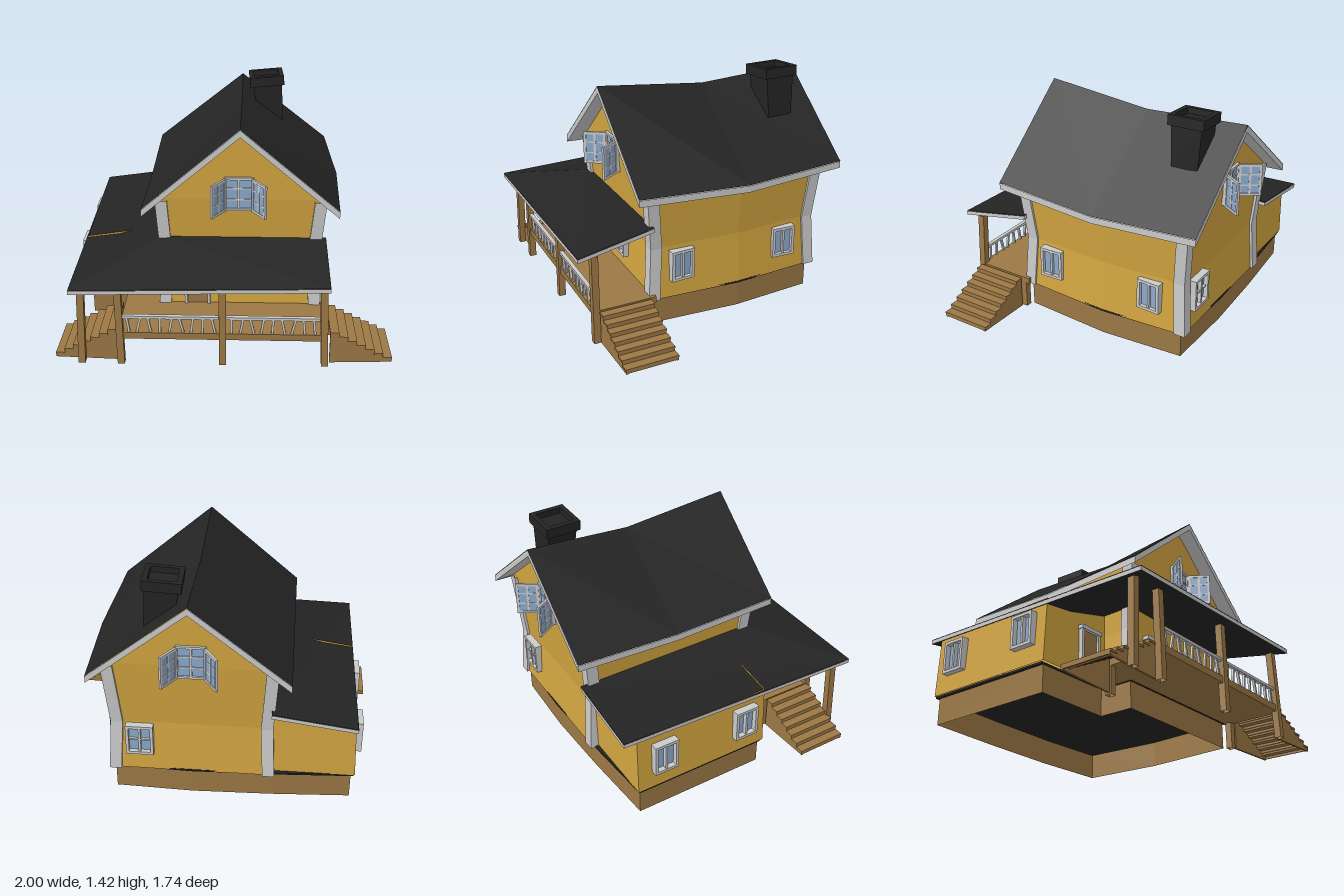
import * as THREE from 'three';

const mat = (name, color, double) => {
  const m = new THREE.MeshStandardMaterial({ color });
  m.name = name;
  if (double) m.side = THREE.DoubleSide;
  return m;
};

export function createModel() {
  const M = {
    wall: mat('yellow wall', 0xd2a540, true),
    trim: mat('light grey trim', 0xcbcbcb, true),
    roof: mat('black roof', 0x242424, true),
    wood: mat('brown wood', 0x9c7845, true),
    glass: mat('blue glass', 0x8aa9cc),
  };
  const house = new THREE.Group();
  house.name = 'house';

  const add = (name, geo, material, parent = house) => {
    const m = new THREE.Mesh(geo, material);
    m.name = name;
    parent.add(m);
    return m;
  };
  const fromTriangles = (pts) => {
    const g = new THREE.BufferGeometry();
    g.setAttribute('position', new THREE.Float32BufferAttribute(pts.flat(), 3));
    g.computeVertexNormals();
    return g;
  };
  // open or closed grid of flat-shaded quads between rows of points
  const surface = (rows, closed = false) => {
    const t = [];
    for (let r = 0; r + 1 < rows.length; r++) {
      const p = rows[r], q = rows[r + 1], n = p.length;
      for (let i = 0; i < (closed ? n : n - 1); i++) {
        const j = (i + 1) % n;
        t.push(p[i], p[j], q[j], p[i], q[j], q[i]);
      }
    }
    return fromTriangles(t);
  };
  const box = (name, x0, x1, y0, y1, z0, z1, material, parent) => {
    const m = add(name, new THREE.BoxGeometry(x1 - x0, y1 - y0, z1 - z0), material, parent);
    m.position.set((x0 + x1) / 2, (y0 + y1) / 2, (z0 + z1) / 2);
    return m;
  };
  // square ring around a centre, counter-clockwise from above
  const ring = ([x, y, z], h) => [[x - h, y, z + h], [x + h, y, z + h], [x + h, y, z - h], [x - h, y, z - h]];
  const bar = (name, a, b, h, material) => add(name, surface([ring(a, h), ring(b, h)], true), material);
  const lower = (rows, d) => rows.map((r) => r.map(([x, y, z]) => [x, y - d, z]));

  // Main walls: pinched at mid height, bulging on the right side
  const levels = [
    { y: 0.17, r: 0.575, l: -0.39, f: 0.412, b: -0.715 },
    { y: 0.5, r: 0.555, l: -0.375, f: 0.39, b: -0.695 },
    { y: 0.92, r: 0.59, l: -0.4, f: 0.425, b: -0.73 },
  ];
  const wallRing = ({ y, r, l, f, b }) =>
    [[l, y, f], [r, y, f], [r + 0.033, y, -0.17], [r, y, b], [l, y, b]];
  add('mainWalls', surface(levels.map(wallRing), true), M.wall);
  const top = levels[2];
  add('gables', fromTriangles([
    [top.l, 0.92, top.f], [top.r, 0.92, top.f], [0.09, 1.345, 0.432],
    [top.r, 0.92, top.b], [top.l, 0.92, top.b], [0.09, 1.31, -0.735],
  ]), M.wall);

  // Corner trims follow the pinch
  for (const [sx, sz] of [['l', 'f'], ['r', 'f'], ['l', 'b'], ['r', 'b']]) {
    const dx = sx === 'r' ? -1 : 1, dz = sz === 'f' ? -1 : 1;
    add('cornerTrim', surface(levels.map((v) =>
      ring([v[sx] + dx * 0.02, Math.min(v.y, 0.905), v[sz] + dz * 0.02], 0.036)), true), M.trim);
  }

  // Side annex
  add('annexWalls', surface([0, 1].map((k) => {
    const x = k ? -0.872 : -0.888, yo = k ? 0.56 : 0.18, yi = k ? 0.635 : 0.18;
    return [[x, yo, 0.2], [-0.38, yi, 0.2], [-0.38, yi, -0.68], [x, yo, -0.68]];
  }), true), M.wall);

  // Hollow skirting and dark floor
  const plan = [[-0.865, 0.18], [-0.38, 0.18], [-0.38, 0.395], [0.56, 0.395], [0.597, -0.17],
    [0.56, -0.69], [0.09, -0.705], [-0.38, -0.69], [-0.865, -0.66]];
  add('skirting', surface([0.005, 0.175].map((y) => plan.map(([x, z]) => [x, y, z])), true), M.wood);
  const floorShape = new THREE.Shape(plan.map(([x, z]) => new THREE.Vector2(x * 1.02, -z * 1.02)));
  const floor = add('floor', new THREE.ExtrudeGeometry(floorShape, { depth: 0.012, bevelEnabled: false }), M.roof);
  floor.rotation.x = -Math.PI / 2;
  floor.position.y = 0.167;

  // Sagging main roof
  const roofRows = [[0.52, 1.38, 0.885, 0.675], [-0.17, 1.31, 0.86, 0.71], [-0.825, 1.345, 0.885, 0.675]]
    .map(([z, ridge, eave, xr]) => [[-0.49, eave, z], [0.09, ridge, z], [xr, eave, z]]);
  const rim = (rows) => [...rows[0], rows[1][2], rows[2][2], rows[2][1], rows[2][0], rows[1][0]];
  add('mainRoof', surface(roofRows), M.roof);
  const under = lower(roofRows, 0.045);
  add('mainRoofUnderside', surface(under), M.trim);
  add('mainRoofFascia', surface([rim(under), rim(lower(roofRows, 0.003))], true), M.trim);

  // Lean-to roof wrapping the porch and the annex
  const porchRows = [
    [[0.61, 0.57, 0.87], [-0.88, 0.53, 0.86], [-0.88, 0.575, -0.765]],
    [[0.61, 0.662, 0.4], [-0.38, 0.662, 0.4], [-0.38, 0.645, -0.765]],
  ];
  const porchRim = (rows) => [...rows[0], ...[...rows[1]].reverse()];
  const porchUnder = lower(porchRows, 0.028);
  add('porchRoof', surface(porchRows), M.roof);
  add('porchRoofUnderside', surface(porchUnder), M.roof);
  add('porchRoofFascia', surface([porchRim(porchUnder), porchRim(lower(porchRows, 0.003))], true), M.trim);

  // Chimney with a hollow, slightly crooked cap
  const chimney = new THREE.Group();
  chimney.name = 'chimney';
  chimney.position.set(0.25, 1.38, -0.57);
  chimney.rotation.set(0, 0.04, 0.08);
  house.add(chimney);
  add('chimneyStack', surface([ring([0.01, -0.27, 0], 0.082), ring([0, 0, 0], 0.096)], true), M.roof, chimney);
  const square = (C, h) => new C([[-h, -h], [h, -h], [h, h], [-h, h]].map((p) => new THREE.Vector2(...p)));
  const capShape = square(THREE.Shape, 0.112);
  capShape.holes.push(square(THREE.Path, 0.082));
  const cap = add('chimneyCap', new THREE.ExtrudeGeometry(capShape, { depth: 0.062, bevelEnabled: false }), M.roof, chimney);
  cap.rotation.x = -Math.PI / 2;
  cap.position.y = -0.025;
  box('chimneyInside', -0.09, 0.09, -0.02, 0, -0.09, 0.09, M.roof, chimney);

  // Windows: frame, bars and glass, facing local +z
  const windowUnit = (name, w, h, d, bars, b = 0.018, parent = house) => {
    const g = new THREE.Group();
    g.name = name;
    parent.add(g);
    const x = w / 2, y = h / 2, z = d / 2;
    for (const s of [-1, 1]) {
      box('frameSide', s * (x - b / 2) - b / 2, s * (x - b / 2) + b / 2, -y, y, -z, z, M.trim, g);
      box('frameRail', -x, x, s * (y - b / 2) - b / 2, s * (y - b / 2) + b / 2, -z, z, M.trim, g);
    }
    box('glass', b - x, x - b, b - y, y - b, -0.003, 0.003, M.glass, g);
    box('mullion', -0.007, 0.007, b - y, y - b, -z * 0.8, z * 0.8, M.trim, g);
    for (let i = 1; i <= bars; i++) {
      const by = -y + (h * i) / (bars + 1);
      box('glazingBar', b - x, x - b, by - 0.004, by + 0.004, -z * 0.6, z * 0.6, M.trim, g);
    }
    return g;
  };
  const place = (g, x, y, z, turn = 0) => { g.position.set(x, y, z); g.rotation.y = turn; };
  for (const z of [0.21, -0.49])
    place(windowUnit('rightWindow', 0.15, 0.195, 0.05, 0), 0.583, 0.377, z, Math.PI / 2 + Math.sign(z) * 0.05);
  for (const z of [0.05, -0.51])
    place(windowUnit('annexWindow', 0.155, 0.2, 0.07, 0), -0.886, 0.39, z, -Math.PI / 2);
  place(windowUnit('frontWindow', 0.165, 0.2, 0.06, 1), 0.145, 0.4, 0.405);
  place(windowUnit('backWindow', 0.165, 0.2, 0.06, 1), 0.4, 0.39, -0.71, Math.PI);

  // Gable windows with two casements swung open
  for (const [z, turn] of [[0.428, 0], [-0.733, Math.PI]]) {
    const g = new THREE.Group();
    g.name = 'gableWindow';
    house.add(g);
    place(g, 0.083, 0.955, z, turn);
    windowUnit('fixedSash', 0.175, 0.21, 0.03, 2, 0.014, g);
    for (const s of [-1, 1]) {
      const c = windowUnit('openCasement', 0.14, 0.205, 0.014, 2, 0.016, g);
      place(c, s * 0.12, -0.005, 0.07, Math.atan2(-0.115, s * 0.075));
    }
  }

  // Doors
  for (const [x, z] of [[-0.17, 0.405], [-0.525, 0.205]]) {
    box('door', x - 0.062, x + 0.062, 0.2, 0.465, z - 0.02, z + 0.008, M.wood);
    for (const s of [-1, 1])
      box('doorJamb', x + s * 0.07 - 0.009, x + s * 0.07 + 0.009, 0.2, 0.47, z - 0.02, z + 0.022, M.trim);
    box('doorHead', x - 0.085, x + 0.085, 0.465, 0.488, z - 0.02, z + 0.028, M.trim);
    box('doorHandle', x + 0.038, x + 0.05, 0.33, 0.342, z, z + 0.02, M.roof);
  }

  // Porch deck, posts and railing
  box('deck', -0.62, 0.61, 0.17, 0.212, 0.39, 0.78, M.wood);
  box('sideDeck', -0.62, -0.38, 0.17, 0.212, 0.19, 0.39, M.wood);
  for (const [x0, x1, y] of [[-0.84, -0.825, 0.52], [-0.605, -0.612, 0.525], [-0.003, -0.003, 0.54], [0.602, 0.578, 0.555]])
    bar('porchPost', [x0, 0.005, 0.772], [x1, y, 0.765], 0.021, M.wood);
  for (const x of [-0.6, 0.595]) bar('deckPost', [x, 0.005, 0.43], [x, 0.18, 0.43], 0.02, M.wood);
  for (const [x0, x1] of [[-0.59, -0.025], [0.018, 0.565]]) {
    box('handRail', x0, x1, 0.305, 0.322, 0.755, 0.78, M.trim);
    for (let i = 0; i < 9; i++) {
      const x = x0 + ((x1 - x0) * (i + 0.5)) / 9, lean = 0.012 * Math.sin(i * 2.3 + x0);
      bar('baluster', [x - lean, 0.21, 0.767], [x + lean, 0.31, 0.767], 0.007, M.trim);
    }
  }

  // Stairs at both ends: stepped side panels, treads and risers
  const steps = 7, run = 0.37 / steps, rise = 0.027;
  for (const s of [-1, 1]) {
    const outline = [[0.63, 0.01]];
    for (let i = 0; i < steps; i++) {
      const x = 0.63 + i * run, y = 0.215 - i * rise;
      outline.push([x, y], [x + run, y]);
      const [a, b] = [s * x, s * (x + run)].sort((p, q) => p - q);
      box('tread', a, b, y - 0.012, y, 0.432, 0.758, M.wood);
      const e = s * (x + run - 0.004);
      box('riser', e - 0.004, e + 0.004, y - rise, y, 0.435, 0.755, M.wood);
    }
    outline.push([1, 0.022]);
    const panel = new THREE.Shape(outline.map(([x, y]) => new THREE.Vector2(s * x, y)));
    for (const z of [0.436, 0.742])
      add('stairSide', new THREE.ExtrudeGeometry(panel, { depth: 0.012, bevelEnabled: false }), M.wood).position.z = z;
  }
  return house;
}
